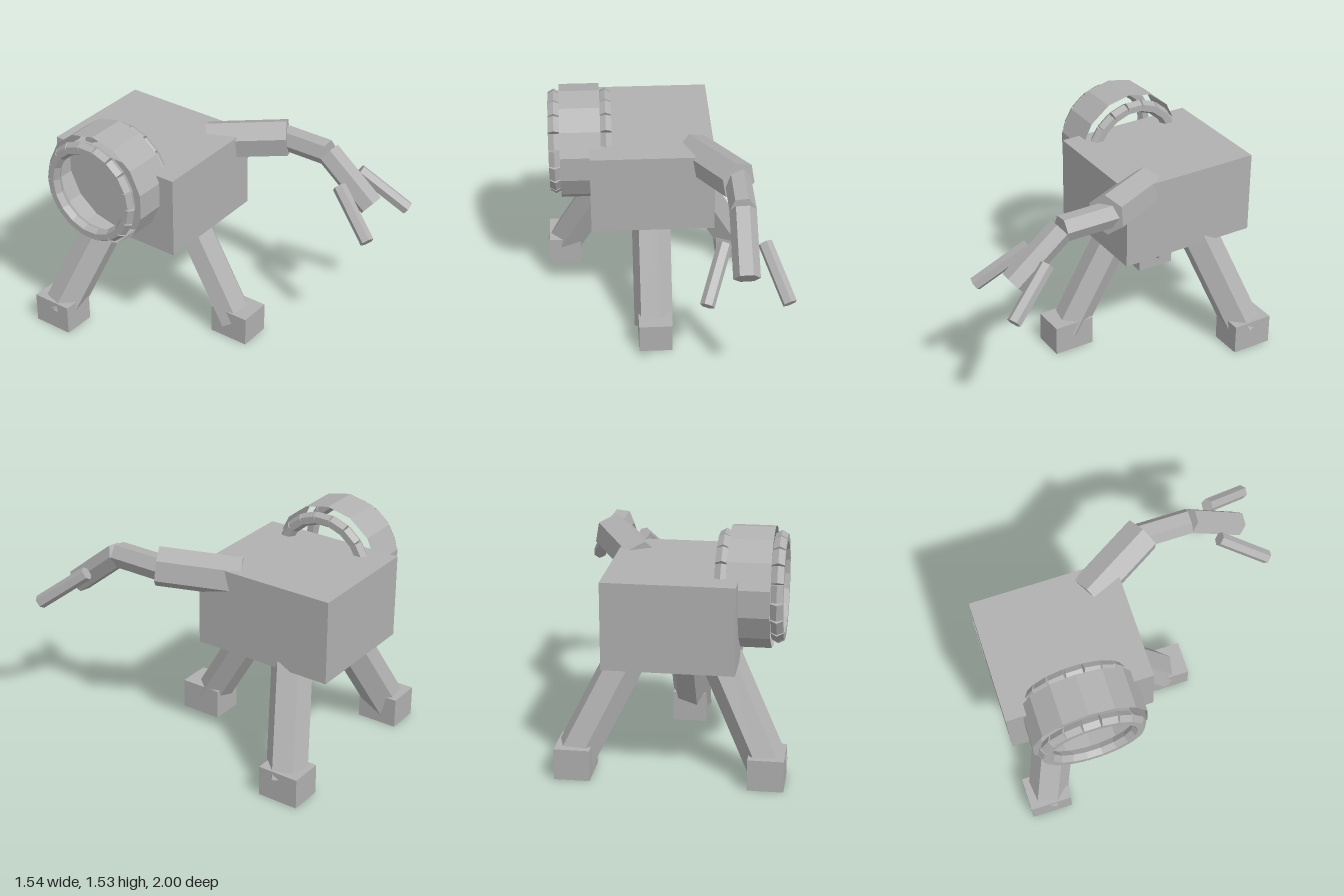
import * as THREE from 'three';

export function createModel() {
  const root = new THREE.Group();
  root.name = 'tripodRobot';
  const grey = new THREE.MeshStandardMaterial({ color: 0xb0b0b0, side: THREE.DoubleSide });
  const V = (x, y, z) => new THREE.Vector3(x, y, z);

  // Faceted mesh with one normal per face
  function add(name, geometry, parent = root) {
    const g = geometry.index ? geometry.toNonIndexed() : geometry;
    g.computeVertexNormals();
    const mesh = new THREE.Mesh(g, grey);
    mesh.name = name;
    parent.add(mesh);
    return mesh;
  }

  function box(name, w, h, d, x, y, z) {
    add(name, new THREE.BoxGeometry(w, h, d).translate(x, y, z));
  }

  // Six-sided bar between two points; turn rolls it about its own axis
  function limb(name, a, b, radius, turn = 0, depth = 1) {
    const dir = b.clone().sub(a);
    const g = new THREE.CylinderGeometry(radius, radius, dir.length(), 6);
    g.rotateY(THREE.MathUtils.degToRad(turn)).scale(1, 1, depth);
    dir.normalize();
    const side = V(0, 1, 0).cross(dir).normalize();
    const basis = new THREE.Matrix4().makeBasis(side, dir, side.clone().cross(dir));
    g.applyMatrix4(basis);
    const mid = a.clone().add(b).multiplyScalar(0.5);
    add(name, g.translate(mid.x, mid.y, mid.z));
  }

  // Body
  box('body', 0.81, 0.55, 0.95, -0.06, 1.01, -0.522);

  // Three splayed legs with block feet
  limb('frontLeg', V(-0.0675, 0.85, -0.275), V(-0.0675, 0.1, 0.16), 0.13, 41, 0.86);
  box('frontFoot', 0.22, 0.2, 0.28, -0.06, 0.1, 0.17);
  for (const [s, label] of [[1, 'Left'], [-1, 'Right']]) {
    limb('rear' + label + 'Leg', V(-0.06 + s * 0.23, 0.85, -0.642),
      V(-0.06 + s * 0.605, 0.1, -0.86), 0.132, s > 0 ? 41 : 19);
    box('rear' + label + 'Foot', 0.222, 0.2, 0.275, -0.06 + s * 0.596, 0.1, -0.861);
  }

  // Side drum: thin open ring with a chain of bars around each rim
  const drum = new THREE.Group();
  drum.name = 'sideDrum';
  drum.position.set(-0.523, 1.152, -0.52);
  root.add(drum);
  add('drumShell', new THREE.CylinderGeometry(0.378, 0.378, 0.266, 14, 1, true)
    .rotateY(Math.PI / 2).rotateZ(Math.PI / 2), drum);
  for (const s of [1, -1]) {
    for (let i = 0; i < 18; i++) {
      add('rimBar', new THREE.CylinderGeometry(0.0435, 0.0435, 0.105, 6)
        .rotateX(Math.PI / 2).translate(s * 0.169, 0.301, 0)
        .rotateX(i * Math.PI / 9), drum);
    }
  }

  // Arm in three sections
  limb('upperArm', V(0.21, 1.2, -0.27), V(0.47, 1.25, 0.185), 0.13, 8);
  limb('forearm', V(0.467, 1.245, 0.14), V(0.467, 1.245, 0.5), 0.084, 36);
  limb('hand', V(0.467, 1.245, 0.5), V(0.467, 0.97, 0.84), 0.084, 36);

  // Fingers
  for (const s of [1, -1]) {
    limb('finger', V(0.467 + s * 0.123, 1.11, 0.67), V(0.467 + s * 0.25, 0.87, 0.97), 0.046, 10);
  }
  return root;
}
